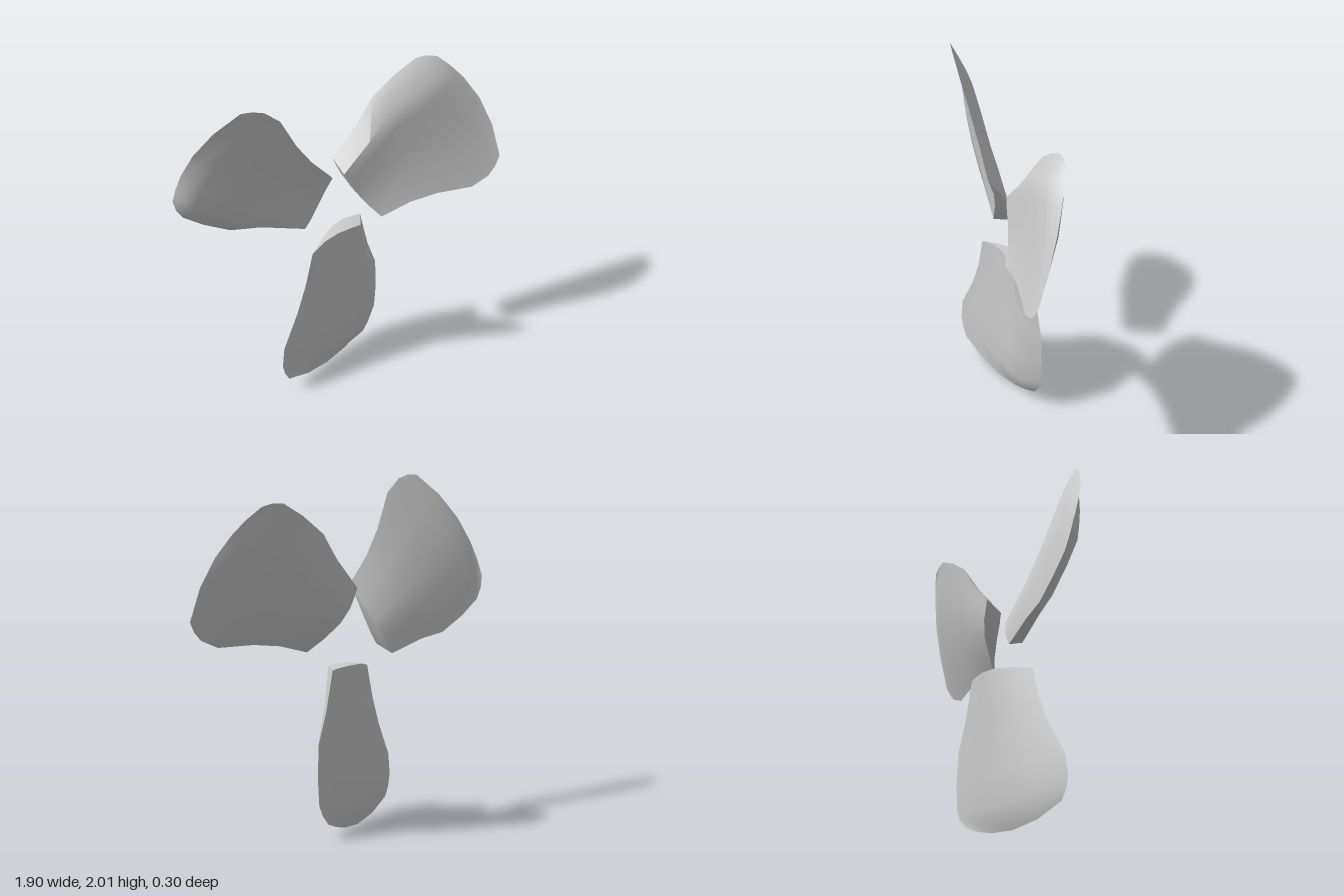
import * as THREE from 'three';
import { toCreasedNormals } from 'three/addons/utils/BufferGeometryUtils.js';

const HUB = { x: -0.032, y: 1.121 };
const SQUASH = 0.887; // the fan is slightly narrowed sideways

// Blade sections, root to tip: leading edge xyz, trailing edge xyz, bow in y, thickness
const SECTIONS = [
  [-0.22, 0.92, 0.065, 0.17, 0.955, -0.11, 0.025, 1],
  [-0.27, 0.72, 0.075, 0.225, 0.72, -0.12, 0, 0.95],
  [-0.335, 0.55, 0.095, 0.285, 0.55, -0.13, 0, 0.9],
  [-0.44, 0.345, 0.13, 0.295, 0.36, -0.135, -0.02, 0.9],
  [-0.455, 0.22, 0.135, 0.285, 0.2, -0.135, -0.06, 0.8],
  [-0.44, 0.15, 0.13, 0.255, 0.135, -0.13, -0.08, 0.55],
  [-0.41, 0.09, 0.12, 0.21, 0.08, -0.12, -0.085, 0],
];

// Closed ring around a section: [position across, offset from the chord]
const RING = [
  [0, 0], [0.25, 0.003], [0.5, 0.028], [0.72, 0.06], [0.87, 0.08], [1, 0],
  [0.87, -0.02], [0.72, -0.042], [0.5, -0.052], [0.25, -0.03],
];

function bladeGeometry() {
  const n = RING.length;
  const positions = [];
  const index = [];
  for (const [xl, yl, zl, xr, yr, zr, bow, thick] of SECTIONS) {
    for (const [t, offset] of RING) {
      const x = THREE.MathUtils.lerp(xl, xr, t);
      const y = THREE.MathUtils.lerp(yl, yr, t) + bow * 4 * t * (1 - t);
      const z = THREE.MathUtils.lerp(zl, zr, t) + offset * thick;
      positions.push((x - HUB.x) / SQUASH, y - HUB.y, z);
    }
  }
  // Skin between neighbouring sections
  for (let r = 0; r < SECTIONS.length - 1; r++) {
    for (let i = 0; i < n; i++) {
      const a = r * n + i;
      const b = r * n + ((i + 1) % n);
      index.push(a, a + n, b + n, a, b + n, b);
    }
  }
  // Flat cap at the root
  for (let i = 0; i < n / 2; i++) {
    const backA = (n - i) % n;
    const backB = n - i - 1;
    if (i < n / 2 - 1) index.push(i, i + 1, backB);
    else index.push(i, i + 1, backA);
    if (i > 0 && i < n / 2 - 1) index.push(i, backB, backA);
  }
  const geometry = new THREE.BufferGeometry();
  geometry.setAttribute('position', new THREE.Float32BufferAttribute(positions, 3));
  geometry.setIndex(index);
  return toCreasedNormals(geometry, 0.8);
}

export function createModel() {
  const model = new THREE.Group();
  model.name = 'fanBlades';
  const rotor = new THREE.Group();
  rotor.name = 'rotor';
  rotor.position.set(HUB.x, HUB.y, 0);
  rotor.scale.x = SQUASH;
  rotor.rotation.y = -0.018;

  // Three equal blades around the hub axis
  const geometry = bladeGeometry();
  const material = new THREE.MeshStandardMaterial({ color: 0xcccccc, side: THREE.DoubleSide });
  ['lowerBlade', 'leftBlade', 'rightBlade'].forEach((name, k) => {
    const blade = new THREE.Mesh(geometry, material);
    blade.name = name;
    blade.rotation.z = (k * Math.PI * 2) / 3;
    rotor.add(blade);
  });
  model.add(rotor);
  return model;
}
